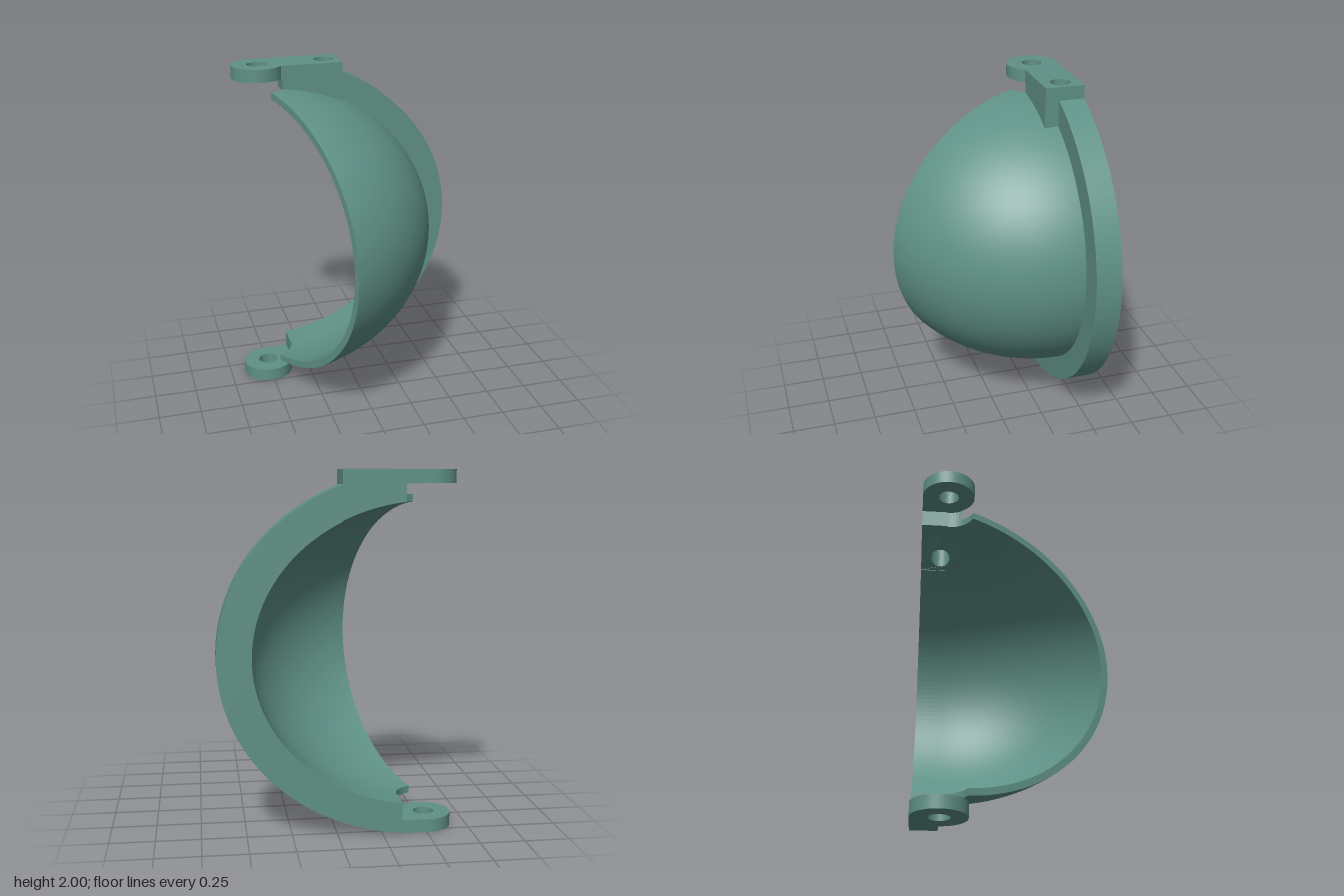
import * as THREE from 'three';
import { ParametricGeometry } from 'three/addons/geometries/ParametricGeometry.js';

// Hinge axis, clearance round it, hole radius and front bolt hole
const AX = -0.51, AZ = -0.4, CLEAR = 0.155, HOLE = 0.058;
const BOLT = { x: -0.105, z: -0.435 };
const SWEEP = THREE.MathUtils.degToRad(70);

// Half-ellipse profiles, c = distance of the centre from the hinge axis
const OUTER = { c: 0.03, a: 0.985, b: 0.871 };
const INNER = { c: 0.03, a: 0.945, b: 0.831 };
const RIM = { c: 0.06, a: 1.105, b: 1.0 };
const angleAt = (e, r) => Math.acos((r - e.c) / e.a);
const heightAt = (e, r) => e.b * Math.sin(angleAt(e, r));

const material = new THREE.MeshStandardMaterial({ color: 0x5f9186, side: THREE.DoubleSide });

function add(group, name, geometry) {
  const mesh = new THREE.Mesh(geometry, material);
  mesh.name = name;
  group.add(mesh);
}

// Extrudes a plan drawn in (x, -z) upwards from y0
function plate(shape, y0, height) {
  const g = new THREE.ExtrudeGeometry(shape, { depth: height, bevelEnabled: false, curveSegments: 32 });
  return g.rotateX(-Math.PI / 2).translate(0, y0, 0);
}

function drill(shape, x, z) {
  shape.holes.push(new THREE.Path().absarc(x, -z, HOLE, 0, Math.PI * 2, true));
  return shape;
}

// Round-ended lug reaching from the hinge axis to xEnd
function lugShape(xEnd, zFront) {
  const s = new THREE.Shape();
  const start = Math.asin((zFront - AZ) / 0.15);
  s.moveTo(xEnd, 0.55);
  s.lineTo(AX, 0.55);
  s.absarc(AX, -AZ, 0.15, Math.PI / 2, Math.PI * 2 - start, false);
  s.lineTo(xEnd, -zFront);
  s.closePath();
  return drill(s, AX, AZ);
}

// Shell point: f runs along the profile, t through the thickness (0 out, 1 in), v round the axis
function shellPoint(f, t, v, target) {
  const e = { c: OUTER.c, a: OUTER.a - 0.04 * t, b: OUTER.b - 0.04 * t };
  const phi = angleAt(e, CLEAR) * (2 * f - 1);
  const r = e.c + e.a * Math.cos(phi);
  // the upper edge steps round the bolt hole
  const d = HOLE ** 2 - (r - (BOLT.x - AX)) ** 2;
  const notch = phi > 0 && d > 0 ? Math.max(0, Math.sqrt(d) + BOLT.z - AZ) : 0;
  const theta = THREE.MathUtils.lerp(Math.asin(notch / r), SWEEP, v);
  target.set(AX + r * Math.cos(theta), 1 + e.b * Math.sin(phi), AZ + r * Math.sin(theta));
}

// Block filling the space between the top plate and the shell
function blockGeometry() {
  const s = new THREE.Shape();
  const steps = 14, x0 = -0.36, x1 = -0.02, zFront = -0.32;
  const at = (a, b, i) => a + (b - a) * i / steps;
  const arc = Math.asin((zFront - AZ) / CLEAR);
  s.moveTo(x0, 0.55);
  s.lineTo(x0, -AZ);
  for (let i = 0; i <= 5; i++) {
    const a = arc * i / 5;
    s.lineTo(AX + CLEAR * Math.cos(a), -AZ - CLEAR * Math.sin(a));
  }
  for (let i = 1; i <= steps; i++) s.lineTo(at(AX + CLEAR * Math.cos(arc), x1, i), -zFront);
  for (let i = 0; i < steps; i++) s.lineTo(at(x1, x0, i), 0.55);
  const g = plate(drill(s, BOLT.x, BOLT.z), 0, 1);
  const p = g.attributes.position;
  for (let i = 0; i < p.count; i++) {
    const r = Math.hypot(p.getX(i) - AX, Math.max(0, p.getZ(i) - AZ));
    p.setY(i, p.getY(i) > 0.5 ? 1.925 : 1.004 + heightAt(INNER, r));
  }
  g.computeVertexNormals();
  return g;
}

// Crescent flange behind the shell
function flangeGeometry() {
  const pts = [];
  const n = 72;
  const trace = (e, back) => {
    const lo = -angleAt(e, 0.15), hi = angleAt(e, 0.49);
    for (let i = 0; i <= n; i++) {
      const phi = lo + (hi - lo) * (back ? n - i : i) / n;
      pts.push(new THREE.Vector2(AX + e.c + e.a * Math.cos(phi), 1 + e.b * Math.sin(phi)));
    }
  };
  trace(RIM, false);
  trace(INNER, true);
  const g = new THREE.ExtrudeGeometry(new THREE.Shape(pts), { depth: 0.15, bevelEnabled: false });
  return g.translate(0, 0, -0.55);
}

export function createModel() {
  const model = new THREE.Group();
  model.name = 'hingedDomeHalf';

  // Thin curved shell with its cut edges
  const shell = new THREE.Group();
  shell.name = 'shell';
  model.add(shell);
  add(shell, 'shellOutside', new ParametricGeometry((u, v, p) => shellPoint(u, 0, 1 - v, p), 96, 40));
  add(shell, 'shellInside', new ParametricGeometry((u, v, p) => shellPoint(u, 1, v, p), 96, 40));
  add(shell, 'shellFrontEdge', new ParametricGeometry((u, v, p) => shellPoint(u, v, 1, p), 96, 1));
  add(shell, 'shellBottomEdge', new ParametricGeometry((u, v, p) => shellPoint(0, v, u, p), 24, 1));
  add(shell, 'shellTopEdge', new ParametricGeometry((u, v, p) => shellPoint(1, v, u, p), 24, 1));

  add(model, 'flange', flangeGeometry());

  // Upper and lower hinge lugs
  add(model, 'topHingePlate', plate(drill(lugShape(-0.02, -0.32), BOLT.x, BOLT.z), 1.925, 0.075));
  add(model, 'topHingeBlock', blockGeometry());
  add(model, 'bottomHingeLug', plate(lugShape(-0.355, AZ), 0, 0.075));
  return model;
}
